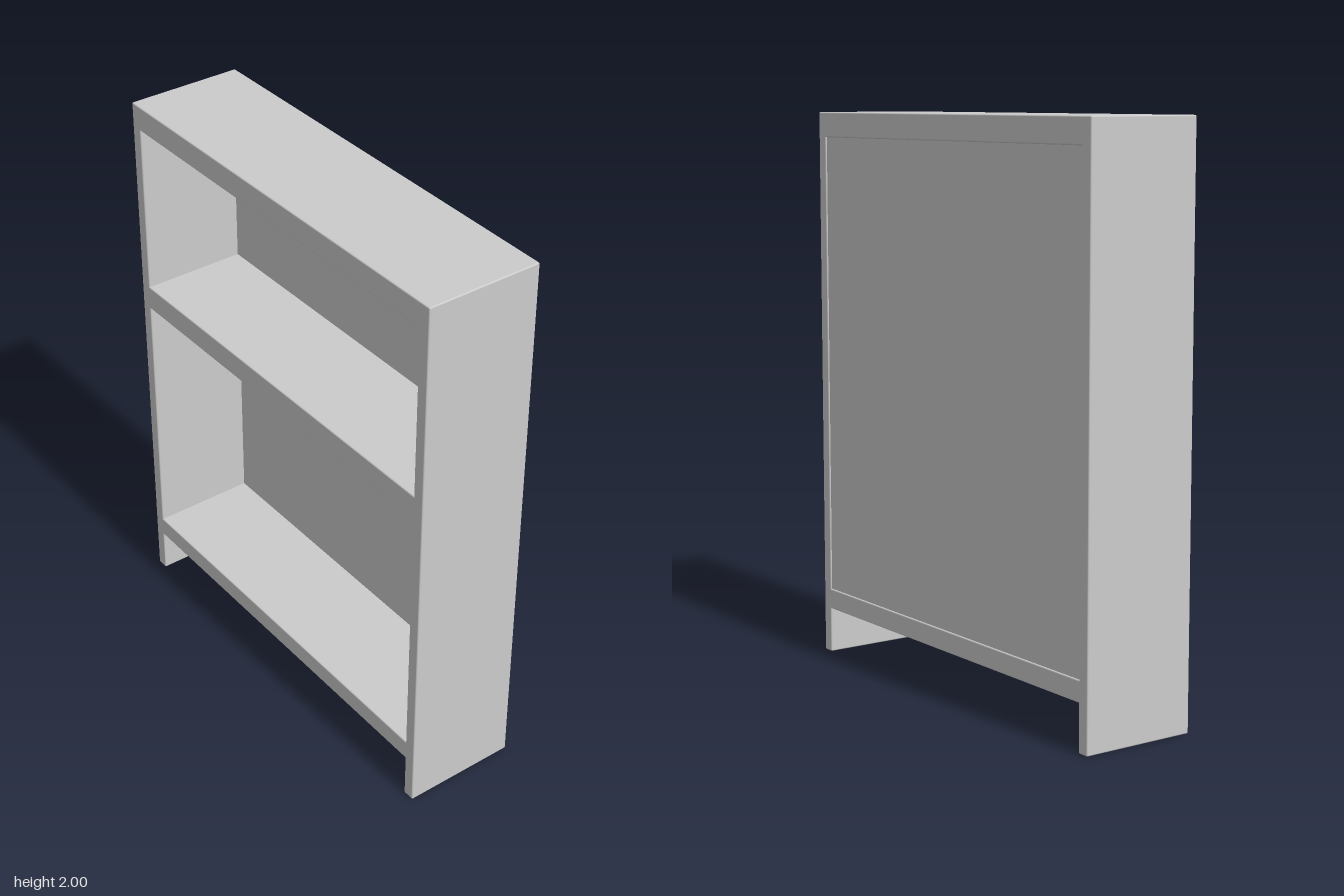
import * as THREE from 'three';
import { RoundedBoxGeometry } from 'three/addons/geometries/RoundedBoxGeometry.js';

const HALF_WIDTH = 0.795, INNER = 0.75, HEIGHT = 2, DEPTH = 0.42;
const EDGE = 0.005; // softened board edges

export function createModel() {
  const group = new THREE.Group();
  group.name = 'bookcase';
  const material = new THREE.MeshStandardMaterial({ color: 0xcccccc });

  // A board given by its extents along each axis
  function board(name, [x0, x1], [y0, y1], [z0, z1]) {
    const geometry = new RoundedBoxGeometry(x1 - x0, y1 - y0, z1 - z0, 2, EDGE);
    const mesh = new THREE.Mesh(geometry, material);
    mesh.position.set((x0 + x1) / 2, (y0 + y1) / 2, (z0 + z1) / 2);
    mesh.name = name;
    group.add(mesh);
  }

  const depth = [-DEPTH / 2, DEPTH / 2];

  // Full-height sides, which reach the floor as feet
  board('leftSide', [INNER, HALF_WIDTH], [0, HEIGHT], depth);
  board('rightSide', [-HALF_WIDTH, -INNER], [0, HEIGHT], depth);

  // Horizontal boards, let slightly into the sides
  const span = [-INNER - 0.01, INNER + 0.01];
  board('top', span, [1.91, HEIGHT], depth);
  board('middleShelf', span, [1.2, 1.29], [-0.2, DEPTH / 2]);
  board('bottomShelf', span, [0.165, 0.24], depth);

  // Back panel closing both compartments
  board('backPanel', span, [0.2, 1.95], [-0.205, -0.17]);

  return group;
}
